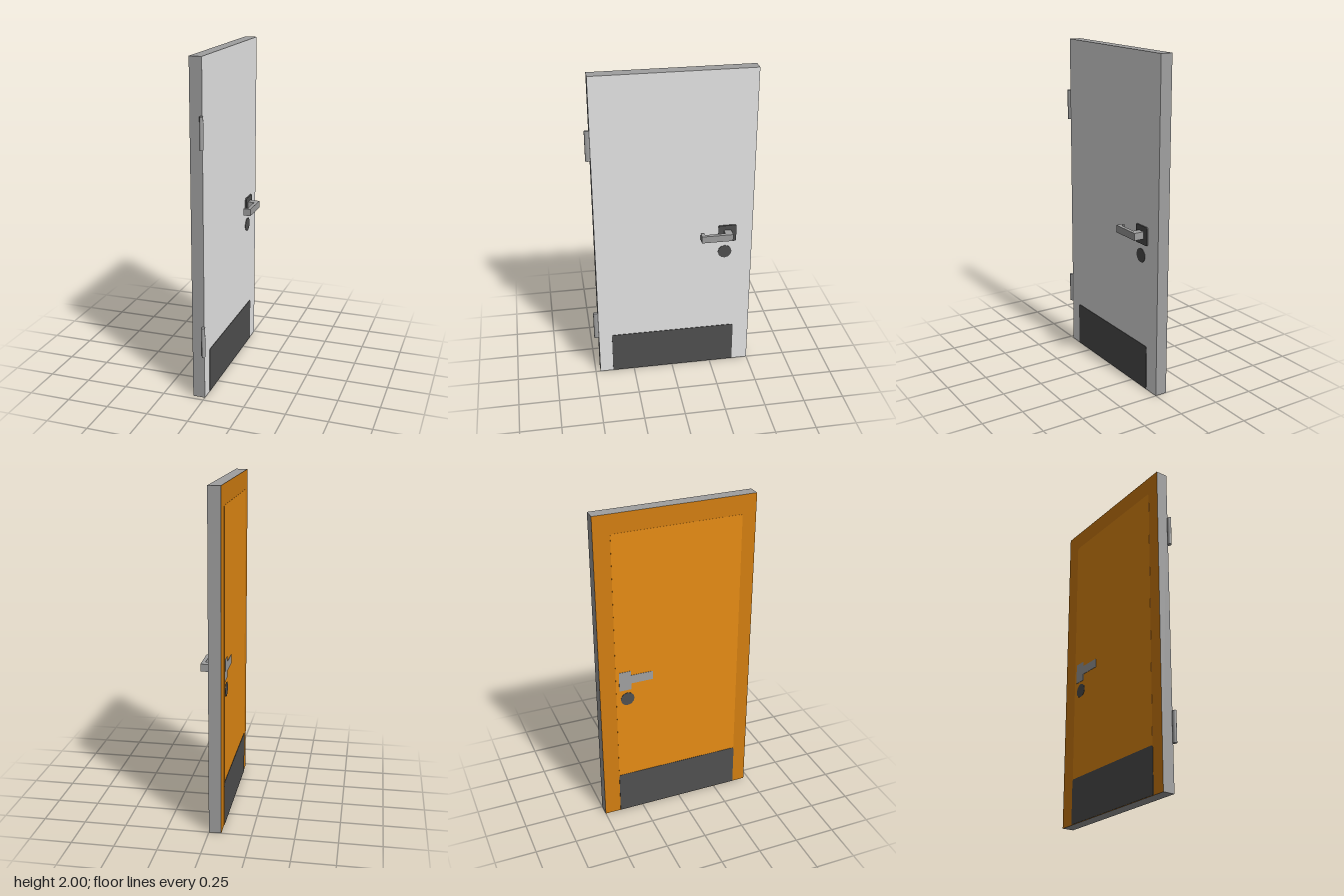
import * as THREE from 'three';

const mat = (name, color) => {
  const m = new THREE.MeshStandardMaterial({ color });
  m.name = name;
  return m;
};

export function createModel() {
  const root = new THREE.Group();
  const white = mat('white paint', 0xebebeb);
  const steel = mat('grey steel', 0xa0a0a0);
  const dark = mat('dark metal', 0x505050);
  const wood = mat('orange wood', 0xe78c14);
  const woodRim = mat('darker orange wood', 0xd47f11);
  const backX = -0.073;

  const add = (parent, name, geometry, material) => {
    const m = new THREE.Mesh(geometry, material);
    m.name = name;
    parent.add(m);
    return m;
  };
  // Box given by its limits on each axis
  const box = (parent, name, x0, x1, y0, y1, z0, z1, material) => {
    const m = add(parent, name, new THREE.BoxGeometry(x1 - x0, y1 - y0, z1 - z0), material);
    m.position.set((x0 + x1) / 2, (y0 + y1) / 2, (z0 + z1) / 2);
    return m;
  };
  // Thin upright plate in the y-z plane with chosen corner rounding, starting at x
  const plate = (parent, name, x, depth, y0, y1, z0, z1, rTop, rBottom, material) => {
    const a = -z1, b = -z0;
    const s = new THREE.Shape();
    s.moveTo(a + rBottom, y0);
    s.lineTo(b - rBottom, y0);
    s.quadraticCurveTo(b, y0, b, y0 + rBottom);
    s.lineTo(b, y1 - rTop);
    s.quadraticCurveTo(b, y1, b - rTop, y1);
    s.lineTo(a + rTop, y1);
    s.quadraticCurveTo(a, y1, a, y1 - rTop);
    s.lineTo(a, y0 + rBottom);
    s.quadraticCurveTo(a, y0, a + rBottom, y0);
    const g = new THREE.ExtrudeGeometry(s, { depth, bevelEnabled: false, curveSegments: 4 });
    g.rotateY(Math.PI / 2);
    g.translate(x, 0, 0);
    return add(parent, name, g, material);
  };

  // Door leaf: painted one side, wood the other, steel edges
  box(root, 'doorLeaf', backX, 0, 0, 2, -0.5, 0.47, [white, woodRim, steel, steel, steel, steel]);
  plate(root, 'backPanel', backX - 0.001, 0.001, 0.0, 1.885, -0.4, 0.385, 0.015, 0.001, wood);

  // Kick plates and lock discs on both sides
  for (const [side, x] of [['front', 0], ['back', backX - 0.003]]) {
    plate(root, side + 'KickPlate', x, 0.003, 0.002, 0.275, -0.4, 0.387, 0.015, 0.001, dark);
    const disc = add(root, side + 'LockDisc', new THREE.CylinderGeometry(0.043, 0.043, 0.003, 12), dark);
    disc.rotation.z = Math.PI / 2;
    disc.position.set(x + 0.0015, 0.828, -0.33);
  }

  // Lever handle on the painted side
  const handle = new THREE.Group();
  handle.name = 'leverHandle';
  root.add(handle);
  plate(handle, 'handlePlate', 0, 0.009, 0.902, 1.012, -0.398, -0.287, 0.008, 0.008, dark);
  const lever = new THREE.Shape();
  // Outline in x and z: stem, long grip, short return
  [[0.005, -0.365], [0.07, -0.365], [0.07, -0.173], [0.025, -0.173],
    [0.025, -0.195], [0.048, -0.195], [0.048, -0.32], [0.005, -0.32]]
    .forEach(([x, z], i) => (i ? lever.lineTo(x, -z) : lever.moveTo(x, -z)));
  const leverGeo = new THREE.ExtrudeGeometry(lever, { depth: 0.044, bevelEnabled: false });
  leverGeo.rotateX(-Math.PI / 2);
  leverGeo.translate(0, 0.937, 0);
  add(handle, 'lever', leverGeo, steel);

  // Flush handle on the wood side
  const flush = new THREE.Group();
  flush.name = 'backFlushHandle';
  root.add(flush);
  plate(flush, 'backHandlePlate', backX - 0.003, 0.003, 0.89, 1.015, -0.38, -0.305, 0.004, 0.004, steel);
  plate(flush, 'backLever', backX - 0.003, 0.003, 0.93, 0.985, -0.306, -0.168, 0.001, 0.001, steel);

  // Hinge barrels
  for (const y of [0.365, 1.592]) {
    const hinge = add(root, 'hinge', new THREE.CylinderGeometry(1, 1, 0.184, 20), steel);
    hinge.scale.set(0.01, 1, 0.015);
    hinge.position.set(0, y, 0.485);
  }
  return root;
}
